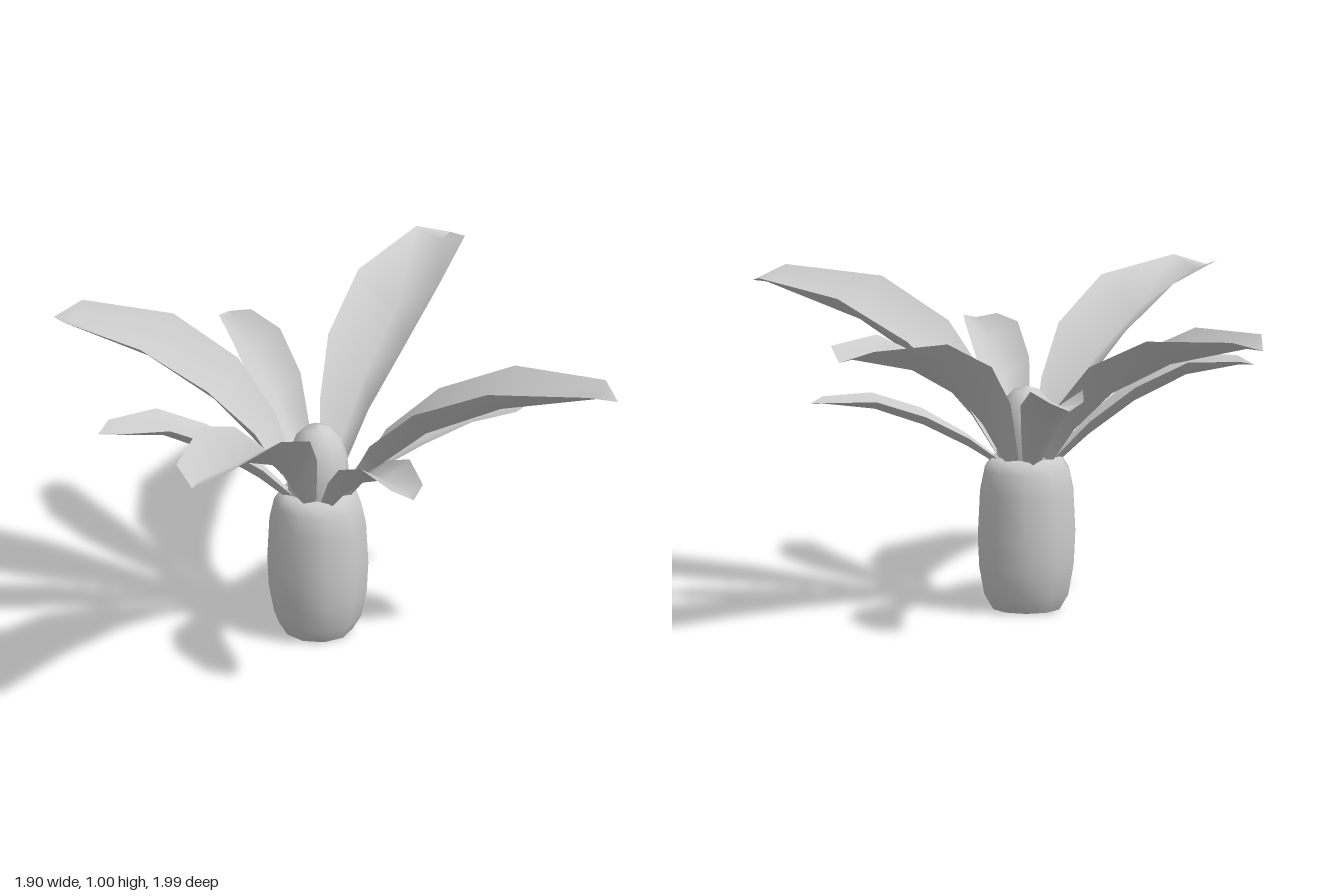
import * as THREE from 'three';

const material = new THREE.MeshStandardMaterial({ color: 0xcccccc, side: THREE.DoubleSide });

// Stations along a leaf: [distance from axis, midrib height, half width, height of edges above midrib]
const LARGE = [
  [0.09, 0.46, 0.035, 0.04], [0.2, 0.6, 0.085, 0.1], [0.36, 0.74, 0.13, 0.11],
  [0.61, 0.865, 0.14, 0.1], [0.93, 0.95, 0.085, 0.035], [1.0, 0.95, 0.0, 0.0],
];
const SMALL = [
  [0.09, 0.46, 0.03, 0.03], [0.2, 0.56, 0.055, 0.05], [0.35, 0.67, 0.085, 0.06],
  [0.52, 0.755, 0.085, 0.055], [0.69, 0.785, 0.055, 0.02], [0.74, 0.785, 0.0, 0.0],
];

// Three-column folded blade running out along +x
function leafGeometry(stations, reach, rise, lean) {
  const positions = [], index = [];
  stations.forEach(([r, y, w, lift], i) => {
    for (const s of [-1, 0, 1]) {
      const h = 0.46 + (y - 0.46 + lift * Math.abs(s)) * rise + lean * s * w;
      positions.push(r * reach, h, s * w);
    }
    if (i === 0) return;
    for (let c = 0; c < 2; c++) {
      const a = (i - 1) * 3 + c, b = a + 3;
      index.push(a, a + 1, b, b, a + 1, b + 1);
    }
  });
  const geometry = new THREE.BufferGeometry();
  geometry.setAttribute('position', new THREE.Float32BufferAttribute(positions, 3));
  geometry.setIndex(index);
  geometry.computeVertexNormals();
  return geometry;
}

function lathe(name, profile, sides) {
  const points = profile.map(([r, y]) => new THREE.Vector2(r, y));
  const mesh = new THREE.Mesh(new THREE.LatheGeometry(points, sides), material);
  mesh.name = name;
  return mesh;
}

export function createModel() {
  const plant = new THREE.Group();
  plant.name = 'plant';

  // Barrel-shaped trunk and its flat base
  plant.add(lathe('trunk', [
    [0.11, 0], [0.14, 0.05], [0.157, 0.14], [0.162, 0.24],
    [0.155, 0.38], [0.14, 0.45], [0.115, 0.49], [0.0, 0.5],
  ], 10));
  const base = new THREE.Mesh(new THREE.CircleGeometry(0.11, 10), material);
  base.rotation.set(Math.PI / 2, 0, Math.PI / 10);
  base.name = 'trunkBase';
  plant.add(base);

  // Rounded central bud
  plant.add(lathe('bud', [
    [0.09, 0.46], [0.1, 0.54], [0.094, 0.61], [0.075, 0.67], [0.042, 0.705], [0, 0.718],
  ], 12));

  // Leaves: stations, tip offset in x and z from the axis, rise, sideways lean
  const leaves = [
    ['largeLeaf', LARGE, 1.0, -0.12, 1.02, 0.1],
    ['largeLeaf', LARGE, -0.905, 0.05, 0.96, 0],
    ['largeLeaf', LARGE, 0.03, 0.995, 1, 0],
    ['largeLeaf', LARGE, -0.01, -1.0, 1, 0],
    ['smallLeaf', SMALL, 0.57, 0.49, 1.03, 0],
    ['smallLeaf', SMALL, -0.55, 0.47, 0.98, 0],
    ['smallLeaf', SMALL, -0.55, -0.5, 0.98, 0],
    ['smallLeaf', SMALL, 0.5, -0.48, 0.66, 0],
  ];
  for (const [name, stations, x, z, rise, lean] of leaves) {
    const reach = Math.hypot(x, z) / stations[stations.length - 1][0];
    const leaf = new THREE.Mesh(leafGeometry(stations, reach, rise, lean), material);
    leaf.rotation.y = Math.atan2(-z, x);
    leaf.name = name;
    plant.add(leaf);
  }

  plant.position.x = -0.05;
  const model = new THREE.Group();
  model.add(plant);
  return model;
}
